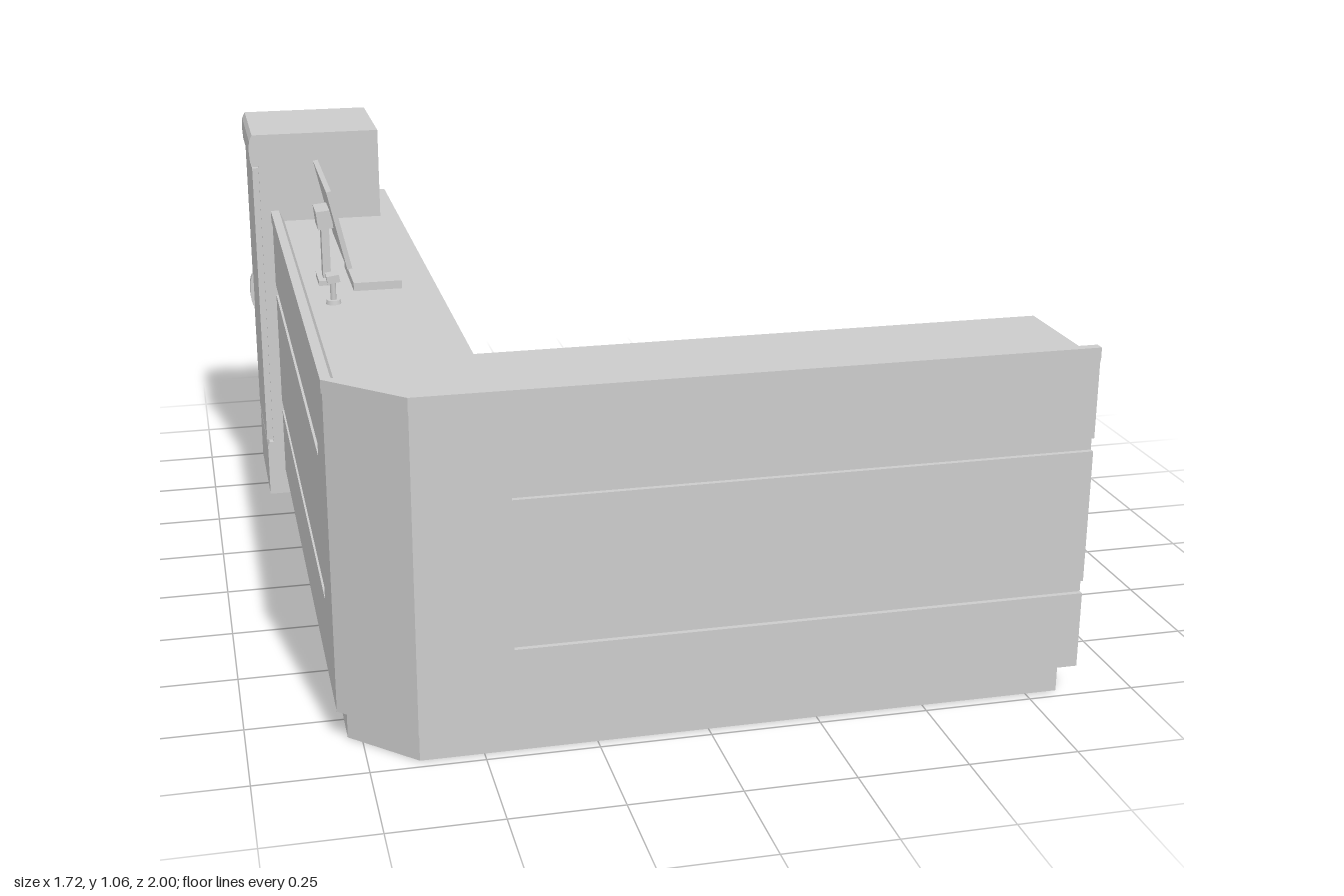
import * as THREE from 'three';

const material = new THREE.MeshStandardMaterial({ color: 0xcccccc, flatShading: true });
const smooth = new THREE.MeshStandardMaterial({ color: 0xcccccc });

function add(parent, name, geometry, mat = material) {
  const mesh = new THREE.Mesh(geometry, mat);
  mesh.name = name;
  parent.add(mesh);
  return mesh;
}

// Box given by its limits on each axis
function box(parent, name, [x0, x1], [y0, y1], [z0, z1]) {
  const mesh = add(parent, name, new THREE.BoxGeometry(x1 - x0, y1 - y0, z1 - z0));
  mesh.position.set((x0 + x1) / 2, (y0 + y1) / 2, (z0 + z1) / 2);
  return mesh;
}

// Prism with a floor plan of [x, z] points between two heights
function slab(parent, name, plan, y0, y1) {
  const shape = new THREE.Shape(plan.map(([x, z]) => new THREE.Vector2(x, -z)));
  const geometry = new THREE.ExtrudeGeometry(shape, { depth: y1 - y0, bevelEnabled: false });
  geometry.rotateX(-Math.PI / 2).translate(0, y0, 0);
  return add(parent, name, geometry);
}

// Prism with a side profile of [x, y] points between two z limits
function profile(parent, name, points, z0, z1, mat) {
  const shape = new THREE.Shape(points.map(([x, y]) => new THREE.Vector2(x, y)));
  const geometry = new THREE.ExtrudeGeometry(shape, { depth: z1 - z0, bevelEnabled: false });
  return add(parent, name, geometry.translate(0, 0, z0), mat);
}

// Outer line of the L, moved inward by d
const outerLine = (d) => [
  [-0.805 + d, -0.99], [-0.805 + d, 0.845 - 0.41 * d],
  [-0.645 + 0.41 * d, 1 - d], [0.86, 1 - d],
];

// Raised rim with a sloped inner side, swept along the outer line
function rimGeometry() {
  const section = [[0, 0.8], [0, 0.83], [0.022, 0.83], [0.035, 0.8]];
  const rails = section.map(([d, y]) => outerLine(d).map(([x, z]) => [x, y, z]));
  const positions = [];
  const quad = (a, b, c, d) => positions.push(...a, ...b, ...c, ...a, ...c, ...d);
  for (let s = 0; s < 4; s++) {
    const low = rails[s], high = rails[(s + 1) % 4];
    for (let i = 0; i < 3; i++) quad(low[i], low[i + 1], high[i + 1], high[i]);
  }
  quad(rails[0][0], rails[1][0], rails[2][0], rails[3][0]);
  quad(rails[3][3], rails[2][3], rails[1][3], rails[0][3]);
  const geometry = new THREE.BufferGeometry();
  geometry.setAttribute('position', new THREE.Float32BufferAttribute(positions, 3));
  geometry.computeVertexNormals();
  return geometry;
}

function createCounter() {
  const counter = new THREE.Group();
  counter.name = 'counter';
  const inner = [[0.86, 0.65], [-0.455, 0.65], [-0.455, -0.99]];
  const full = [...outerLine(0.003), ...inner];

  // Floor plan with the two grooves cut into the outer faces
  const g = 0.012;
  const grooved = [
    [-0.802 + g, -0.99], [-0.802 + g, 0.65], [-0.802, 0.65],
    ...outerLine(0.003).slice(1, 3),
    [-0.435, 0.997], [-0.435, 0.997 - g], [0.86, 0.997 - g], ...inner,
  ];

  const levels = [0.07, 0.25, 0.28, 0.59, 0.62, 0.8];
  for (let i = 0; i < 5; i++) {
    const isGroove = i % 2 === 1;
    slab(counter, isGroove ? 'grooveBand' : 'bodyPanel', isGroove ? grooved : full, levels[i], levels[i + 1]);
  }

  const plinth = [
    [-0.78, -0.985], [-0.78, 0.835], [-0.64, 0.973], [0.825, 0.973],
    [0.825, 0.667], [-0.472, 0.667], [-0.472, -0.985],
  ];
  slab(counter, 'plinth', plinth, 0, 0.07);
  add(counter, 'rim', rimGeometry());
  return counter;
}

function createCabinet() {
  const cabinet = new THREE.Group();
  cabinet.name = 'cabinet';
  box(cabinet, 'cabinetBody', [-0.832, -0.505], [0, 1.042], [-1, -0.66]);
  box(cabinet, 'cabinetDoor', [-0.849, -0.832], [0.163, 0.95], [-0.995, -0.665]);

  // Rounded head panel and base panel around the door
  profile(cabinet, 'headPanel', [
    [-0.83, 0.955], [-0.848, 0.955], [-0.854, 0.968], [-0.856, 0.998],
    [-0.854, 1.026], [-0.846, 1.042], [-0.83, 1.042],
  ], -1, -0.66);
  profile(cabinet, 'basePanel', [
    [-0.83, 0], [-0.848, 0], [-0.848, 0.145], [-0.843, 0.157], [-0.83, 0.157],
  ], -1, -0.66);

  // Bowed door pull
  const arc = Array.from({ length: 11 }, (_, i) => {
    const a = (i / 10) * Math.PI;
    return [-0.846 - 0.014 * Math.sin(a), 0.52 + 0.052 * Math.cos(a)];
  });
  profile(cabinet, 'doorPull', arc, -0.992, -0.965);
  return cabinet;
}

function createMonitor() {
  const monitor = new THREE.Group();
  monitor.name = 'monitor';
  const screen = box(monitor, 'screen', [-0.698, -0.686], [0.872, 1.066], [-0.203, 0.157]);
  screen.rotation.z = 0.22;
  box(monitor, 'standFoot', [-0.735, -0.695], [0.8, 0.812], [-0.065, 0.025]);
  box(monitor, 'standPost', [-0.722, -0.703], [0.81, 0.945], [-0.04, 0]);
  const head = box(monitor, 'standHead', [-0.733, -0.696], [0.94, 0.985], [-0.065, 0.02]);
  head.rotation.z = 0.1;
  return monitor;
}

// Small device on a stem
function createScanner() {
  const scanner = new THREE.Group();
  scanner.name = 'scanner';
  const foot = add(scanner, 'scannerFoot', new THREE.CylinderGeometry(0.016, 0.018, 0.01, 16), smooth);
  foot.position.y = 0.005;
  const stem = add(scanner, 'scannerStem', new THREE.CylinderGeometry(0.007, 0.007, 0.055, 12), smooth);
  stem.position.y = 0.033;
  const head = box(scanner, 'scannerHead', [-0.015, 0.015], [0.055, 0.073], [-0.021, 0.021]);
  head.rotation.z = 0.15;
  scanner.position.set(-0.715, 0.8, 0.185);
  return scanner;
}

export function createModel() {
  const model = new THREE.Group();
  model.name = 'receptionDesk';
  model.add(createCounter(), createCabinet(), createMonitor(), createScanner());
  box(model, 'keyboard', [-0.657, -0.54], [0.8, 0.82], [-0.133, 0.09]);
  return model;
}
